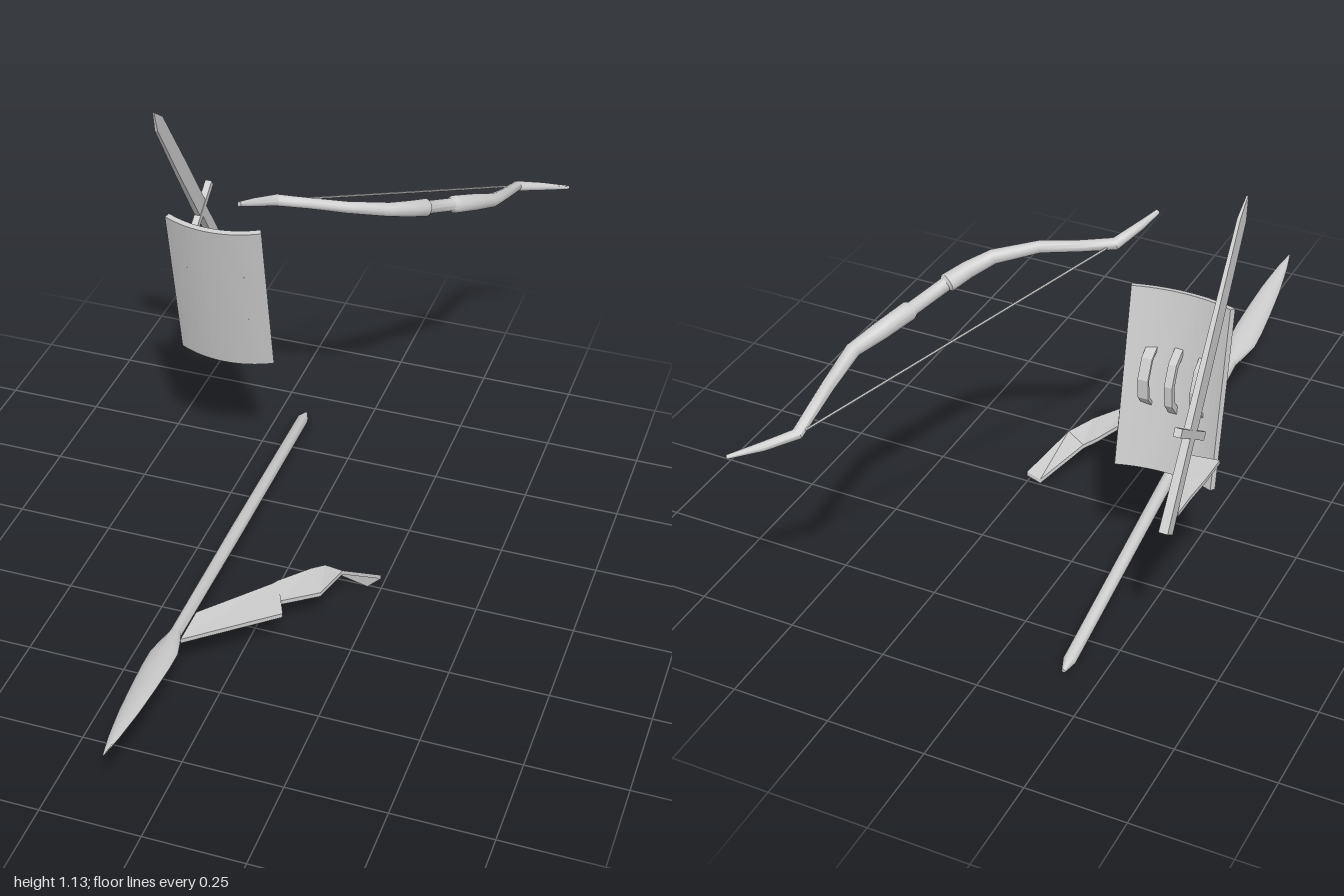
import * as THREE from 'three';
import { toCreasedNormals } from 'three/addons/utils/BufferGeometryUtils.js';

const V = (x, y, z) => new THREE.Vector3(x, y, z);
const steel = new THREE.MeshStandardMaterial({ color: 0xcccccc });
steel.name = 'plain grey';

// Closed skin over rings of equal length, each counterclockwise about the path
function loft(name, rings, crease) {
  const pos = [];
  const tri = (...ps) => ps.forEach(p => pos.push(p.x, p.y, p.z));
  const n = rings[0].length;
  for (let i = 0; i < rings.length - 1; i++) {
    for (let j = 0; j < n; j++) {
      const k = (j + 1) % n;
      const a = rings[i][j], b = rings[i][k], c = rings[i + 1][k], d = rings[i + 1][j];
      tri(a, b, d);
      tri(b, c, d);
    }
  }
  const first = rings[0], last = rings[rings.length - 1];
  for (let j = 1; j < n - 1; j++) {
    tri(first[0], first[j + 1], first[j]);
    tri(last[0], last[j], last[j + 1]);
  }
  const geo = new THREE.BufferGeometry();
  geo.setAttribute('position', new THREE.Float32BufferAttribute(pos, 3));
  geo.computeVertexNormals();
  const mesh = new THREE.Mesh(crease ? toCreasedNormals(geo, crease) : geo, steel);
  mesh.name = name;
  return mesh;
}

// Sweep an ellipse (or a box, when sides is 4) along points; radii are [across, thick]
function sweep(name, points, radii, across, sides = 12) {
  const box = sides === 4;
  const rings = points.map((p, i) => {
    const t = points[Math.min(i + 1, points.length - 1)].clone()
      .sub(points[Math.max(i - 1, 0)]).normalize();
    const u = across.clone().addScaledVector(t, -across.dot(t)).normalize();
    const v = t.clone().cross(u);
    const grow = box ? Math.SQRT2 : 1;
    return Array.from({ length: sides }, (_, j) => {
      const a = (j / sides) * Math.PI * 2 + (box ? Math.PI / 4 : 0);
      return p.clone().addScaledVector(u, Math.cos(a) * radii[i][0] * grow)
        .addScaledVector(v, Math.sin(a) * radii[i][1] * grow);
    });
  });
  return loft(name, rings, box ? 0 : 0.7);
}

// Flat strip between pairs of left and right edge points
function strip(name, pairs, thick) {
  const h = thick / 2;
  return loft(name, pairs.map(([l, r]) => [
    V(r[0], r[1] + h, r[2]), V(r[0], r[1] - h, r[2]),
    V(l[0], l[1] - h, l[2]), V(l[0], l[1] + h, l[2]),
  ]), 0);
}

function named(name, ...parts) {
  const g = new THREE.Group();
  g.name = name;
  g.add(...parts);
  return g;
}

function makeSpear() {
  const tail = V(-0.17, 0.018, -0.64), tip = V(-0.08, 0.225, 1);
  const at = s => tail.clone().lerp(tip, s);
  const across = V(1, 0.22, 0);
  const shaft = sweep('spear shaft', [0, 0.022, 0.4, 0.72].map(at),
    [[0.005, 0.005], [0.016, 0.016], [0.017, 0.017], [0.015, 0.015]], across);
  const head = sweep('spear head', [0.7, 0.73, 0.755, 0.79, 0.84, 0.9, 0.96, 1].map(at),
    [[0.015, 0.015], [0.028, 0.016], [0.037, 0.016], [0.037, 0.015],
      [0.033, 0.013], [0.026, 0.01], [0.014, 0.007], [0.002, 0.002]], across);
  return named('spear', shaft, head);
}

function makeSword() {
  const end = V(-0.427, 0.515, -0.65), tip = V(-0.421, 1.13, -0.22);
  const at = s => end.clone().lerp(tip, s);
  const dir = tip.clone().sub(end).normalize();
  const across = V(1, 0, 0).cross(dir).normalize();
  const grip = sweep('sword grip', [0, 0.295].map(at),
    [[0.017, 0.011], [0.016, 0.009]], across, 4);
  const blade = sweep('sword blade', [0.29, 0.6, 0.93, 1].map(at),
    [[0.024, 0.008], [0.024, 0.006], [0.021, 0.004], [0.002, 0.002]], across, 4);
  const mid = at(0.295);
  const guard = sweep('sword guard', [-0.08, 0.08].map(d => mid.clone().addScaledVector(across, d)),
    [[0.01, 0.009], [0.01, 0.009]], dir, 4);
  return named('sword', grip, blade, guard);
}

function makeShield() {
  const R = 0.306, half = 0.43, height = 0.45, thick = 0.015;
  const shape = new THREE.Shape();
  shape.absarc(0, R, R, -Math.PI / 2 - half, -Math.PI / 2 + half, false);
  shape.absarc(0, R, R - thick, -Math.PI / 2 + half, -Math.PI / 2 - half, true);
  const geo = new THREE.ExtrudeGeometry(shape, { depth: height, bevelEnabled: false, curveSegments: 8 });
  geo.rotateX(-Math.PI / 2).translate(0, -height / 2, 0);
  const plate = new THREE.Mesh(geo, steel);
  plate.name = 'shield plate';
  const shield = named('shield', plate);
  // Arched straps and central grip on the back
  for (const x of [-0.065, 0, 0.065]) {
    const path = [[-0.075, -0.012], [-0.048, -0.042], [0, -0.054], [0.048, -0.042], [0.075, -0.012]];
    shield.add(sweep(x ? 'arm strap' : 'shield grip', path.map(([y, z]) => V(x, y + 0.01, z)),
      path.map(() => [x ? 0.013 : 0.01, x ? 0.004 : 0.008]), V(1, 0, 0), 4));
  }
  shield.position.set(-0.277, 0.615, -0.245);
  shield.rotation.x = 0.2;
  return shield;
}

function makeBow() {
  // The whole bow lies in one slanted plane
  const on = (x, z) => V(x, 0.98 + (z + 0.12) * 0.352, z);
  const normal = V(0, 1, -0.352).normalize();
  const stations = [
    [-0.168, -0.125, 0.006], [-0.145, -0.175, 0.011], [-0.113, -0.235, 0.015], [-0.04, -0.262, 0.014],
    [0.05, -0.29, 0.015], [0.14, -0.345, 0.018], [0.18, -0.395, 0.021], [0.207, -0.44, 0.023],
    [0.21, -0.446, 0.017], [0.25, -0.525, 0.017], [0.255, -0.534, 0.023], [0.29, -0.6, 0.022],
    [0.325, -0.665, 0.018], [0.331, -0.77, 0.015], [0.333, -0.895, 0.014], [0.39, -0.945, 0.011],
    [0.453, -0.992, 0.005],
  ];
  const limbs = sweep('bow limbs', stations.map(([x, z]) => on(x, z)),
    stations.map(([, , r]) => [r, r]), normal);
  const string = sweep('bow string', [on(-0.108, -0.24), on(0.327, -0.89)],
    [[0.003, 0.003], [0.003, 0.003]], normal, 6);
  return named('bow', limbs, string);
}

export function createModel() {
  // Broad blade with a bent handle, lying against the spear
  const cleaver = strip('broad blade', [
    [[-0.09, 0.153, 0.415], [-0.09, 0.153, 0.52]],
    [[0.035, 0.127, 0.225], [0.095, 0.12, 0.315]],
    [[0.045, 0.125, 0.205], [0.07, 0.12, 0.275]],
    [[0.1, 0.105, 0.11], [0.15, 0.102, 0.19]],
    [[0.125, 0.097, 0.078], [0.178, 0.11, 0.1]],
    [[0.215, 0.006, 0.005], [0.246, 0.03, -0.008]],
  ], 0.012);
  // Small flared blade beside the sword
  const flare = strip('small flared blade', [
    [[-0.46, 0.57, -0.43], [-0.38, 0.562, -0.43]],
    [[-0.457, 0.566, -0.5], [-0.39, 0.557, -0.5]],
    [[-0.447, 0.556, -0.56], [-0.403, 0.546, -0.56]],
    [[-0.44, 0.544, -0.61], [-0.415, 0.54, -0.61]],
  ], 0.01);
  return named('weapon set', makeSpear(), makeSword(), makeShield(), makeBow(), cleaver, flare);
}
